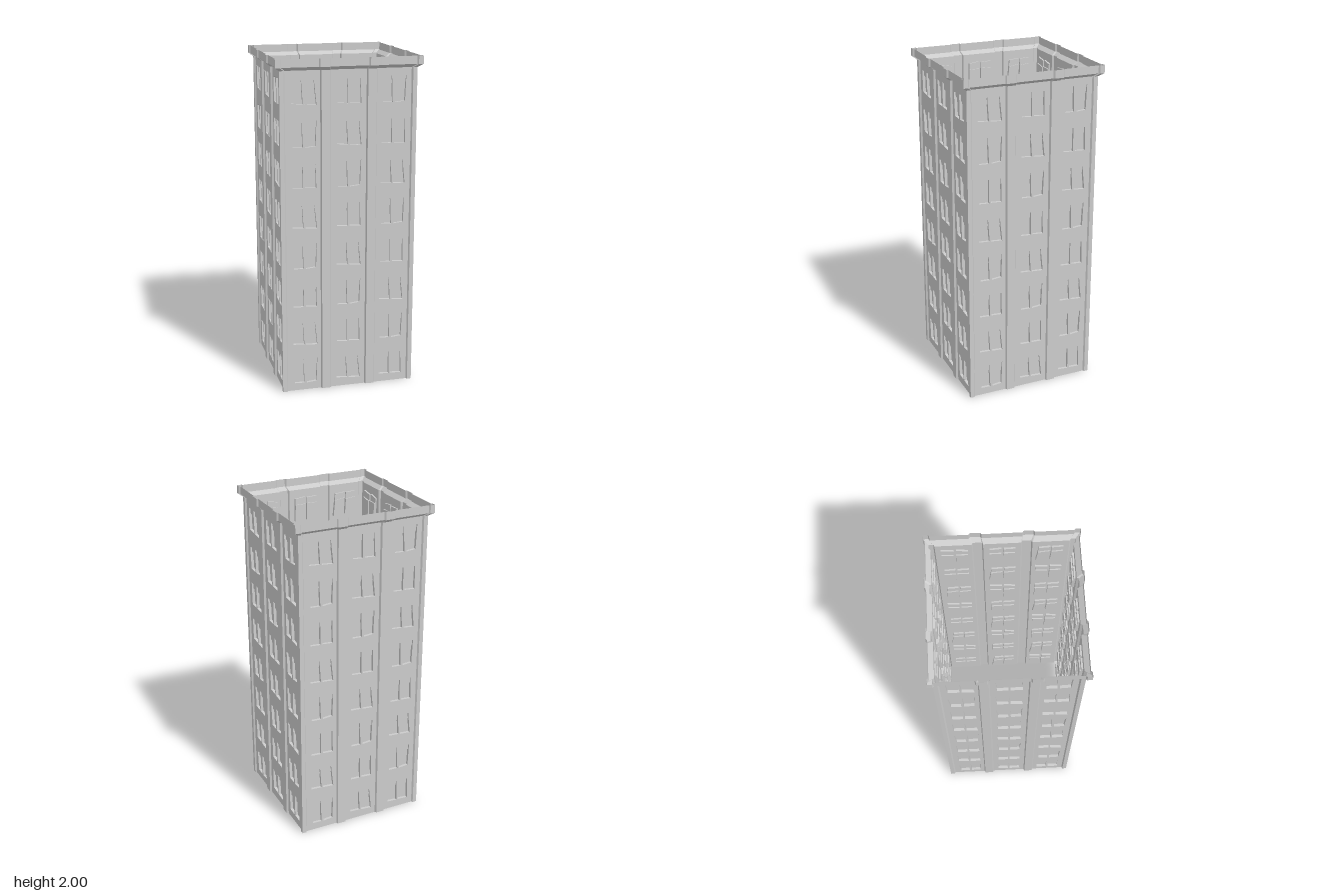
import * as THREE from 'three';

const WALL_TOP = 1.933, WALL_Z = 0.395, FLOORS = 8;
const FLOOR_H = WALL_TOP / FLOORS;
const UPPER_DEPTH = 0.010, LOWER_DEPTH = 0.017;

// Panes as corners (top left, top right, bottom right, bottom left) around the
// window centre, then how far down the left and right edges the sash step sits.
const WINDOWS = [
  [
    { c: [[-0.074, 0.072], [-0.006, 0.068], [-0.004, -0.074], [-0.068, -0.07]], t: [0.28, 0.25] },
    { c: [[0.004, 0.074], [0.07, 0.066], [0.074, -0.076], [0.007, -0.072]], t: [0.3, 0.26] },
  ],
  [
    { c: [[-0.076, 0.062], [-0.01, 0.075], [-0.004, -0.077], [-0.064, -0.075]], t: [0.22, 0.28] },
    { c: [[0.004, 0.067], [0.076, 0.077], [0.07, -0.072], [0.01, -0.078]], t: [0.28, 0.27] },
  ],
  [
    { c: [[-0.076, 0.07], [-0.012, 0.066], [-0.003, -0.07], [-0.07, -0.066]], t: [0.27, 0.3] },
    { c: [[-0.002, 0.07], [0.062, 0.064], [0.077, -0.077], [0.007, -0.072]], t: [0.25, 0.29] },
  ],
];

// Half plans of one side, from the left corner to the middle: [x, z]
const WALL_PLAN = [[-0.405, 0.405], [-0.38, 0.405], [-0.373, WALL_Z], [-0.168, WALL_Z],
  [-0.162, 0.407], [-0.111, 0.407], [-0.105, WALL_Z]];
const CORNICE_PLAN = [[-0.432, 0.432], [-0.404, 0.432], [-0.397, 0.423], [-0.182, 0.423],
  [-0.175, 0.432], [-0.119, 0.432], [-0.112, 0.423]];
const mirrorPlan = (half) => [...half, ...half.slice().reverse().map(([x, z]) => [-x, z])];

// Flat-shaded geometry from quads with corners counter-clockwise from outside
function quadGeometry(quads) {
  const pos = [];
  for (const [a, b, c, d] of quads) pos.push(...a, ...b, ...c, ...a, ...c, ...d);
  const g = new THREE.BufferGeometry();
  g.setAttribute('position', new THREE.Float32BufferAttribute(pos, 3));
  g.computeVertexNormals();
  return g;
}

// Strip of quads between two plans at two heights; flat panels may be skipped
function ribbon(low, y0, high, y1, skip = []) {
  const quads = [];
  for (let i = 0; i < low.length - 1; i++) {
    if (skip.includes(i)) continue;
    const at = (p, y) => [p[0], y, p[1]];
    quads.push([at(low[i], y0), at(low[i + 1], y0), at(high[i + 1], y1), at(high[i], y1)]);
  }
  return quads;
}

const lerp = (a, b, t) => [a[0] + (b[0] - a[0]) * t, a[1] + (b[1] - a[1]) * t];

// All panes of one column, placed in wall coordinates
function columnPanes(x, column) {
  const panes = [];
  for (let f = 0; f < FLOORS; f++) {
    const variant = WINDOWS[(f + column + 1) % 3];
    const y = (f + 0.5) * FLOOR_H;
    for (const { c, t } of variant) {
      const [tl, tr, br, bl] = c.map((p) => [p[0] + x, p[1] + y]);
      panes.push({ tl, tr, br, bl, l: lerp(tl, bl, t[0]), r: lerp(tr, br, t[1]) });
    }
  }
  return panes;
}

// Recess of one pane: shallow upper sash, deeper lower sash, and the reveals
function paneQuads({ tl, tr, br, bl, l, r }) {
  const at = (p, depth) => [p[0], p[1], WALL_Z - depth];
  const reveal = (a, b, d) => [at(a, 0), at(b, 0), at(b, d), at(a, d)];
  const U = UPPER_DEPTH, D = LOWER_DEPTH;
  return [
    [at(l, U), at(r, U), at(tr, U), at(tl, U)],
    [at(bl, D), at(br, D), at(r, D), at(l, D)],
    [at(l, D), at(r, D), at(r, U), at(l, U)],
    reveal(tl, tr, U), reveal(tr, r, U), reveal(l, tl, U),
    reveal(r, br, D), reveal(br, bl, D), reveal(bl, l, D),
  ];
}

// Flat wall panel with a hole for every pane
function panelGeometry(x0, x1, panes) {
  const toVec = (pts) => pts.map((p) => new THREE.Vector2(p[0], p[1]));
  const shape = new THREE.Shape(toVec([[x0, 0], [x1, 0], [x1, WALL_TOP], [x0, WALL_TOP]]));
  for (const p of panes) shape.holes.push(new THREE.Path(toVec([p.tl, p.tr, p.br, p.bl])));
  return new THREE.ShapeGeometry(shape).translate(0, 0, WALL_Z);
}

export function createModel() {
  const model = new THREE.Group();
  model.name = 'apartmentTower';
  const material = new THREE.MeshStandardMaterial({
    color: 0xcccccc, flatShading: true, side: THREE.DoubleSide,
  });
  const parts = [];

  // Wall panels and their windows
  const recesses = [];
  [[-0.373, -0.168], [-0.105, 0.105], [0.168, 0.373]].forEach(([x0, x1], column) => {
    const panes = columnPanes([-0.266, 0, 0.266][column], column);
    parts.push(['wallPanel', panelGeometry(x0, x1, panes)]);
    panes.forEach((p) => recesses.push(...paneQuads(p)));
  });
  parts.push(['windows', quadGeometry(recesses)]);

  // Pilasters, then the flared cornice with its upright band
  const wall = mirrorPlan(WALL_PLAN), cornice = mirrorPlan(CORNICE_PLAN);
  parts.push(['pilasters', quadGeometry(ribbon(wall, 0, wall, WALL_TOP, [2, 6, 10]))]);
  parts.push(['cornice', quadGeometry([
    ...ribbon(wall, WALL_TOP, cornice, 1.953),
    ...ribbon(cornice, 1.953, cornice, 2),
  ])]);

  // The same facade on all four sides
  ['front', 'left', 'back', 'right'].forEach((side, i) => {
    const facade = new THREE.Group();
    facade.name = side + 'Facade';
    for (const [name, geometry] of parts) {
      const mesh = new THREE.Mesh(geometry, material);
      mesh.name = name;
      facade.add(mesh);
    }
    facade.rotation.y = i * Math.PI / 2;
    model.add(facade);
  });
  return model;
}
